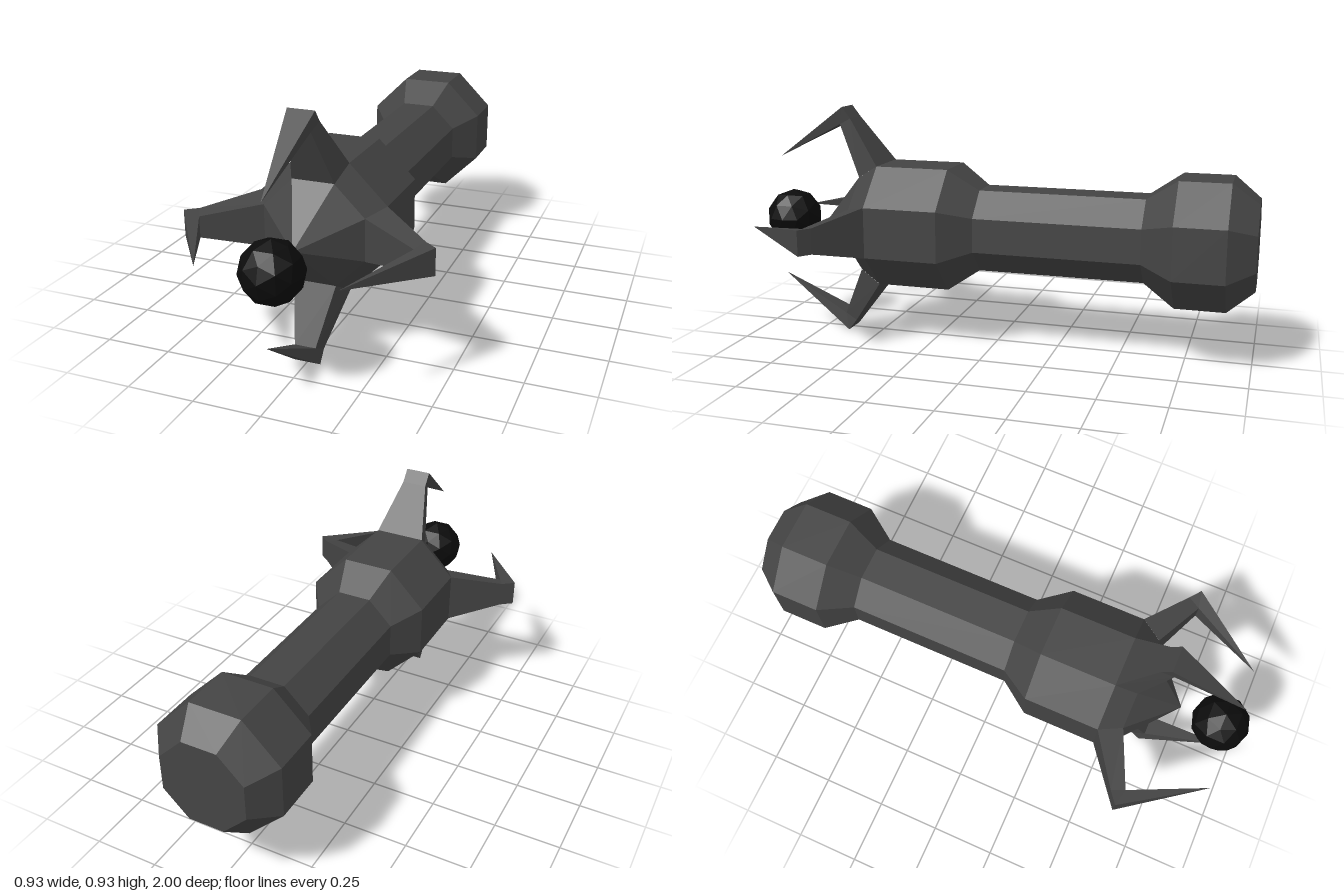
import * as THREE from 'three';

const AXIS_Y = 0.465;

// Build a flat-faced geometry from named points and polygon loops
function polyGeometry(points, faces) {
  const pos = [];
  for (const f of faces) {
    for (let i = 1; i < f.length - 1; i++) {
      for (const k of [f[0], f[i], f[i + 1]]) pos.push(...points[k]);
    }
  }
  const g = new THREE.BufferGeometry();
  g.setAttribute('position', new THREE.Float32BufferAttribute(pos, 3));
  g.computeVertexNormals();
  return g;
}

// One bent claw rising along +y, with its point reaching forward
function clawGeometry() {
  const section = { // half width, distance from axis, z
    outerBase: [0.1, 0.24, 0.47], innerBase: [0.08, 0.19, 0.555],
    outerArm: [0.05, 0.42, 0.6], innerElbow: [0.04, 0.395, 0.65],
    elbow: [0.05, 0.465, 0.635],
  };
  const p = { tip: [0, 0.25, 0.94] };
  for (const [k, [w, y, z]] of Object.entries(section)) {
    p[k + 'L'] = [w, y, z];
    p[k + 'R'] = [-w, y, z];
  }
  const side = [
    ['innerBase', 'outerBase', 'outerArm', 'innerElbow'],
    ['innerElbow', 'outerArm', 'elbow'],
    ['innerElbow', 'elbow', 'tip'],
  ];
  const name = (k, s) => (k === 'tip' ? k : k + s);
  return polyGeometry(p, [
    ['outerBaseL', 'outerBaseR', 'outerArmR', 'outerArmL'],
    ['outerArmL', 'outerArmR', 'elbowR', 'elbowL'],
    ['innerBaseR', 'innerBaseL', 'innerElbowL', 'innerElbowR'],
    ['elbowL', 'elbowR', 'tip'],
    ['innerElbowR', 'innerElbowL', 'tip'],
    ...side.map(f => f.map(k => name(k, 'L'))),
    ...side.map(f => f.map(k => name(k, 'R')).reverse()),
  ]);
}

export function createModel() {
  const model = new THREE.Group();
  const metal = new THREE.MeshStandardMaterial({ color: 0x444444, flatShading: true });
  const black = new THREE.MeshStandardMaterial({ color: 0x0b0b0b, flatShading: true });

  // Octagonal handle: [z, distance from axis to flat side]
  const profile = [
    [-1, 0], [-1, 0.162], [-0.9, 0.24], [-0.71, 0.24], [-0.59, 0.16], [0.055, 0.16],
    [0.175, 0.24], [0.47, 0.24], [0.555, 0.19], [0.73, 0],
  ].map(([z, a]) => new THREE.Vector2(a / Math.cos(Math.PI / 8), z));
  const handle = new THREE.Mesh(new THREE.LatheGeometry(profile, 8, Math.PI / 8), metal);
  handle.name = 'handle';
  handle.rotation.x = Math.PI / 2;
  handle.position.y = AXIS_Y;
  model.add(handle);

  // Four claws around the nose
  const clawShape = clawGeometry();
  for (let i = 0; i < 4; i++) {
    const claw = new THREE.Mesh(clawShape, metal);
    claw.name = 'claw' + (i + 1);
    claw.rotation.z = i * Math.PI / 2;
    claw.position.y = AXIS_Y;
    model.add(claw);
  }

  // Orb floating between the claw points
  const orb = new THREE.Mesh(new THREE.IcosahedronGeometry(0.112, 1), black);
  orb.name = 'orb';
  orb.position.set(0.004, AXIS_Y, 0.888);
  model.add(orb);

  return model;
}
